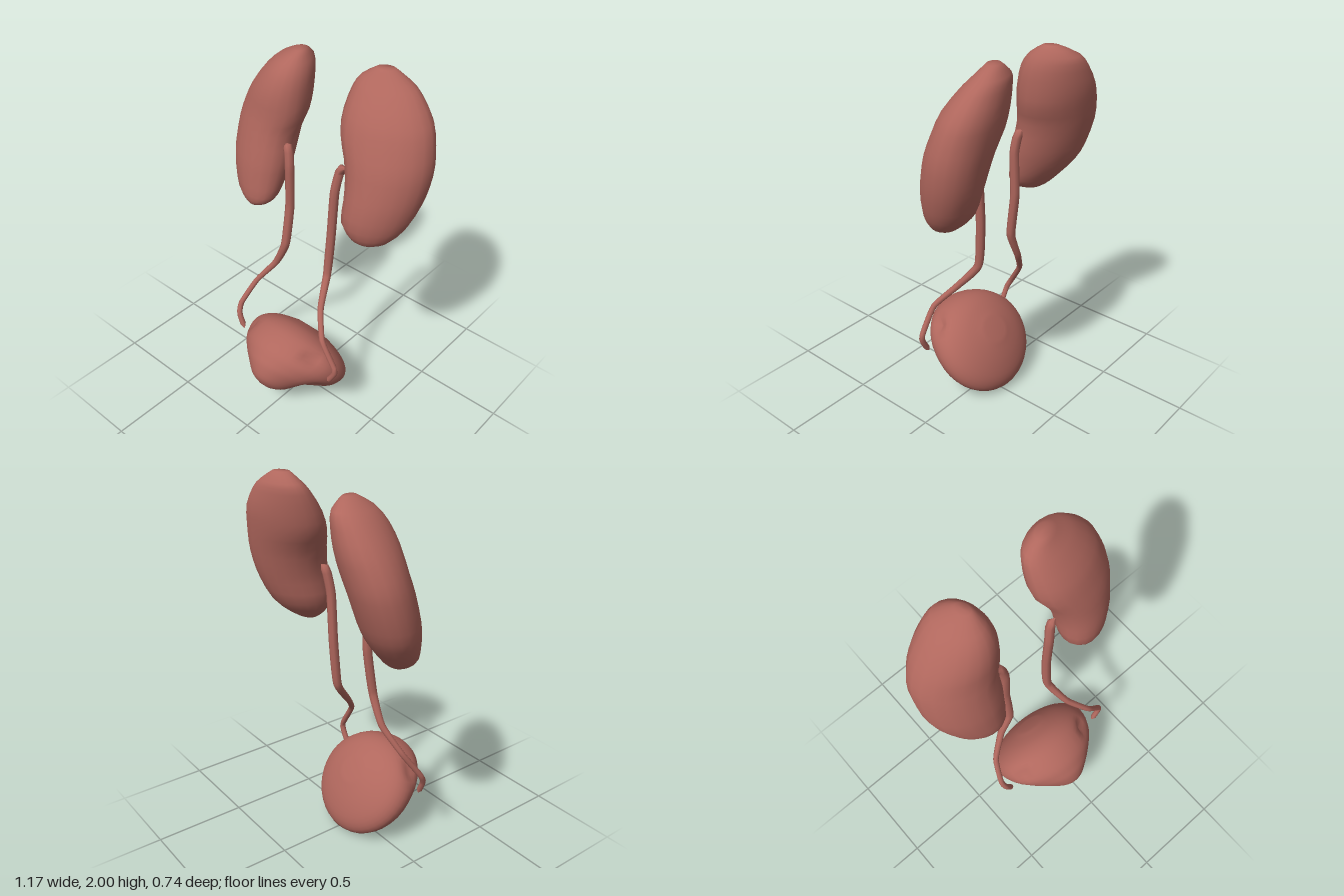
import * as THREE from 'three';

const material = new THREE.MeshStandardMaterial({ color: 0xb0675d, roughness: 0.8 });

// Smoothly resample a table of section rows to n + 1 rows
function resample(rows, n) {
  const out = [];
  const last = rows.length - 1;
  for (let i = 0; i <= n; i++) {
    const u = (i / n) * last;
    const k = Math.min(Math.floor(u), last - 1);
    const f = u - k;
    const [a, b, c, d] = [rows[Math.max(k - 1, 0)], rows[k], rows[k + 1], rows[Math.min(k + 2, last)]];
    out.push(b.map((p, j) => {
      const m0 = (c[j] - a[j]) / 2, m1 = (d[j] - p) / 2, q = c[j] - p;
      return p + f * (m0 + f * (3 * q - 2 * m0 - m1 + f * (m0 + m1 - 2 * q)));
    }));
  }
  return out;
}

// Closed skin over a stack of loops, with a pole at each end
function loft(rings) {
  const sides = rings[0].length;
  const centre = (ring) => ring.reduce((s, p) => s.add(p), new THREE.Vector3()).divideScalar(sides);
  const points = [...rings.flat(), centre(rings[0]), centre(rings[rings.length - 1])];
  const bottom = points.length - 2, top = points.length - 1;
  const end = (rings.length - 1) * sides;
  const index = [];
  for (let j = 0; j < sides; j++) {
    const k = (j + 1) % sides;
    index.push(bottom, j, k, top, end + k, end + j);
    for (let r = 0; r < end; r += sides) {
      index.push(r + j, r + sides + j, r + k, r + k, r + sides + j, r + sides + k);
    }
  }
  const geometry = new THREE.BufferGeometry().setFromPoints(points);
  geometry.setIndex(index);
  geometry.computeVertexNormals();
  return geometry;
}

function addMesh(group, name, geometry) {
  const mesh = new THREE.Mesh(geometry, material);
  mesh.name = name;
  group.add(mesh);
}

// Kidney rows: y, x min, x max, z min, z max; skew turns the oval sections
function kidney(rows, skew) {
  return loft(resample(rows, 20).map(([y, x0, x1, z0, z1]) =>
    Array.from({ length: 20 }, (_, j) => {
      const t = (j / 20) * Math.PI * 2;
      return new THREE.Vector3(
        (x0 + x1) / 2 + ((x1 - x0) / 2) * Math.cos(t), y,
        (z0 + z1) / 2 + ((z1 - z0) / 2) * Math.sin(t + skew));
    })));
}

const leftKidneyRows = [
  [1.17, 0.31, 0.40, -0.10, -0.02], [1.20, 0.275, 0.46, -0.15, 0.02],
  [1.28, 0.215, 0.52, -0.235, 0.05], [1.40, 0.21, 0.56, -0.29, 0.04],
  [1.50, 0.195, 0.578, -0.32, 0.02], [1.60, 0.165, 0.582, -0.34, 0],
  [1.70, 0.115, 0.565, -0.355, -0.03], [1.80, 0.105, 0.53, -0.365, -0.07],
  [1.90, 0.115, 0.45, -0.355, -0.14], [1.95, 0.14, 0.385, -0.34, -0.185],
  [2.00, 0.21, 0.30, -0.30, -0.23],
];
const rightKidneyRows = [
  [1.125, -0.40, -0.33, -0.06, 0.04], [1.15, -0.45, -0.27, -0.10, 0.06],
  [1.20, -0.51, -0.23, -0.15, 0.07], [1.30, -0.565, -0.21, -0.23, 0.06],
  [1.40, -0.588, -0.195, -0.28, 0.045], [1.55, -0.585, -0.185, -0.33, 0.01],
  [1.65, -0.56, -0.15, -0.35, -0.01], [1.75, -0.51, -0.14, -0.365, -0.02],
  [1.85, -0.435, -0.143, -0.36, -0.05], [1.92, -0.36, -0.165, -0.34, -0.10],
  [1.97, -0.26, -0.20, -0.26, -0.18],
];

// Bladder: sections parallel to its tilted round back, from the front prow backward
function bladder() {
  const along = new THREE.Vector3(0, 0.63, -0.78);
  const across = new THREE.Vector3(0, 0.78, 0.63);
  // offset along the axis, lower edge, upper edge, half width
  const rows = [
    [-0.338, 0.07, 0.15, 0.035], [-0.312, -0.02, 0.22, 0.095], [-0.25, -0.133, 0.27, 0.175],
    [-0.20, -0.21, 0.288, 0.24], [-0.14, -0.267, 0.298, 0.295], [-0.066, -0.3, 0.285, 0.315],
    [0, -0.257, 0.253, 0.28], [0.05, -0.155, 0.19, 0.19], [0.08, -0.04, 0.09, 0.07],
  ];
  // dents: x, y, z, depth, radius
  const dents = [
    [-0.25, 0.38, 0.16, 0.035, 0.04], [0.2, 0.41, 0.17, 0.035, 0.04],
    [-0.25, 0.2, 0.15, 0.025, 0.06], [0.2, 0.2, 0.15, 0.025, 0.06],
    [-0.2, 0.12, 0.16, 0.035, 0.1], [0.15, 0.12, 0.16, 0.035, 0.1],
  ];
  const middle = new THREE.Vector3(-0.025, 0.25, 0.08);
  const rings = resample(rows, 28).map(([s, t0, t1, w]) =>
    Array.from({ length: 40 }, (_, j) => {
      const a = (j / 40) * Math.PI * 2;
      const p = new THREE.Vector3(-0.025 + w * Math.cos(a), 0.3, -0.01)
        .addScaledVector(along, s)
        .addScaledVector(across, (t0 + t1) / 2 + ((t1 - t0) / 2) * Math.sin(a));
      const inward = middle.clone().sub(p).normalize();
      let push = 0;
      for (const [x, y, z, depth, radius] of dents) {
        push += depth * Math.exp(-p.distanceToSquared(new THREE.Vector3(x, y, z)) / radius ** 2);
      }
      return p.addScaledVector(inward, push);
    }));
  return loft(rings);
}

// Ureter: gently kinked tube that thins downward and closes at both ends
function ureter(path) {
  const n = 48, sides = 8;
  const curve = new THREE.CatmullRomCurve3(path.map((p) => new THREE.Vector3(...p)), false, 'catmullrom', 0.25);
  const geometry = new THREE.TubeGeometry(curve, n, 1, sides);
  const pos = geometry.attributes.position;
  const p = new THREE.Vector3();
  for (let i = 0; i <= n; i++) {
    const c = curve.getPointAt(i / n);
    const taper = THREE.MathUtils.smoothstep(i / n, 0.4, 0.75);
    const r = i % n === 0 ? 0.002 : THREE.MathUtils.lerp(0.025, 0.016, taper);
    for (let j = 0; j <= sides; j++) {
      const k = i * (sides + 1) + j;
      p.fromBufferAttribute(pos, k).sub(c).multiplyScalar(r).add(c);
      pos.setXYZ(k, p.x, p.y, p.z);
    }
  }
  return geometry;
}

export function createModel() {
  const group = new THREE.Group();
  group.name = 'urinarySystem';
  addMesh(group, 'leftKidney', kidney(leftKidneyRows, -0.25));
  addMesh(group, 'rightKidney', kidney(rightKidneyRows, 0.25));
  addMesh(group, 'bladder', bladder());
  addMesh(group, 'leftUreter', ureter([
    [0.185, 1.51, -0.09], [0.15, 1.49, -0.085], [0.13, 1.36, -0.07], [0.115, 1.1, -0.07],
    [0.11, 0.84, -0.05], [0.16, 0.69, 0.06], [0.25, 0.57, 0.15], [0.345, 0.42, 0.155],
    [0.335, 0.37, 0.155], [0.295, 0.30, 0.155],
  ]));
  addMesh(group, 'rightUreter', ureter([
    [-0.21, 1.51, -0.08], [-0.18, 1.49, -0.07], [-0.165, 1.39, -0.06], [-0.17, 1.15, -0.065],
    [-0.18, 0.9, -0.035], [-0.25, 0.74, -0.03], [-0.35, 0.59, 0.03], [-0.395, 0.45, 0.12],
    [-0.385, 0.39, 0.15], [-0.345, 0.30, 0.155],
  ]));
  return group;
}
